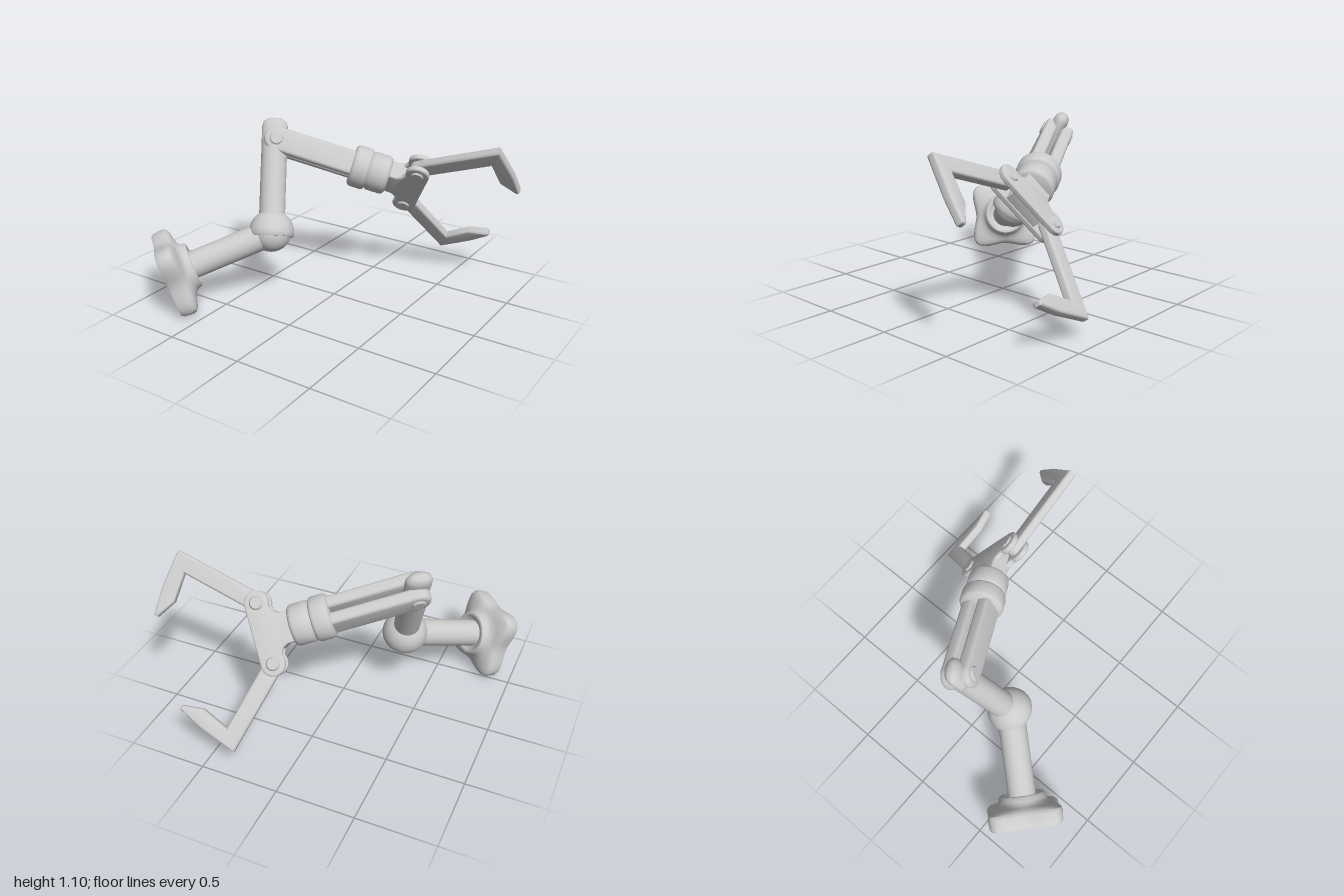
import * as THREE from 'three';
import { mergeVertices, toCreasedNormals } from 'three/addons/utils/BufferGeometryUtils.js';

const material = new THREE.MeshStandardMaterial({ color: 0xcccccc });
const vec = (a) => new THREE.Vector3(...a).normalize();

// Main directions of the pose
const lowerDir = [0.647, 0.32, -0.715];
const upperDir = [-0.232, 0.886, -0.40];
const foreDir = [0.848, -0.288, -0.444];
const jawDir = [0.489, 0.75, 0.448];
const ball = [-0.34, 0.448, 0.212];
const elbow = [-0.475, 0.972, -0.045];
const gripOrigin = [-0.483, 0.975, -0.043];

// Group whose local x is exactly xAxis and whose local y is close to yAxis
function frame(name, origin, xAxis, yAxis) {
  const x = vec(xAxis);
  const z = x.clone().cross(vec(yAxis)).normalize();
  const y = z.clone().cross(x);
  const g = new THREE.Group();
  g.name = name;
  g.quaternion.setFromRotationMatrix(new THREE.Matrix4().makeBasis(x, y, z));
  g.position.set(...origin);
  return g;
}

function add(parent, name, geometry, x = 0, y = 0, z = 0) {
  const mesh = new THREE.Mesh(geometry, material);
  mesh.name = name;
  mesh.position.set(x, y, z);
  parent.add(mesh);
  return mesh;
}

// Square outline with slightly hollow sides and round corners, as a radius factor
function squareFactor(a) {
  const c = Math.abs(Math.cos(a)), s = Math.abs(Math.sin(a));
  return (1 - 0.07 * Math.cos(4 * a)) / Math.pow(c ** 5 + s ** 5, 0.2);
}

// Turned part along local x; profile entries are [x, radius, squareness]
function turned(profile, segments = 40) {
  const geo = new THREE.LatheGeometry(profile.map(([h, r]) => new THREE.Vector2(r, h)), segments);
  const p = geo.attributes.position;
  for (let i = 0; i < p.count; i++) {
    const k = profile[i % profile.length][2] || 0;
    const s = 1 + k * (squareFactor(Math.atan2(p.getZ(i), p.getX(i))) - 1);
    p.setX(i, p.getX(i) * s);
    p.setZ(i, p.getZ(i) * s);
  }
  geo.deleteAttribute('normal');
  geo.deleteAttribute('uv');
  geo.rotateZ(-Math.PI / 2);
  return toCreasedNormals(mergeVertices(geo, 1e-5), 0.7);
}

// Plate with softened edges, centred on local z = 0
function plate(shape, thickness, bevel) {
  const geo = new THREE.ExtrudeGeometry(shape, {
    depth: thickness - 2 * bevel, bevelEnabled: true, bevelThickness: bevel,
    bevelSize: bevel, bevelOffset: -bevel, bevelSegments: 3, curveSegments: 14,
  });
  geo.translate(0, 0, bevel - thickness / 2);
  geo.deleteAttribute('uv');
  return toCreasedNormals(geo, 0.6);
}

// Pin across a joint, along local z
function pin(parent, name, x, y, radius, length) {
  const geo = turned([
    [-length / 2, 0], [-length / 2, radius * 0.8], [-length / 2 + 0.01, radius],
    [length / 2 - 0.01, radius], [length / 2, radius * 0.8], [length / 2, 0],
  ], 24);
  geo.rotateY(-Math.PI / 2);
  add(parent, name, geo, x, y, 0);
}

// Bent finger: round hinge end, straight link, tapering tip
function fingerShape(side) {
  const pts = [];
  for (let i = 0; i <= 10; i++) {
    const a = (-0.26 - i * 0.1) * Math.PI;
    pts.push([0.93 + 0.055 * Math.cos(a), 0.187 + 0.055 * Math.sin(a)]);
  }
  pts.push([1.313, 0.632], [1.478, 0.432], [1.562, 0.3], [1.547, 0.278], [1.42, 0.335], [1.314, 0.484]);
  return new THREE.Shape(pts.map(([x, y]) => new THREE.Vector2(x, y * side)));
}

export function createModel() {
  const model = new THREE.Group();
  model.name = 'roboticArm';

  // Square four-cornered foot with a collar, and the lower arm
  const lower = frame('lowerArm', ball, lowerDir, [-0.2, 0.954, 0.223]);
  add(lower, 'foot', turned([
    [-0.715, 0], [-0.715, 0.215, 1], [-0.70, 0.222, 1], [-0.64, 0.227, 1],
    [-0.618, 0.222, 1], [-0.602, 0.205, 0.95], [-0.592, 0.185, 0.6], [-0.58, 0.165, 0.2],
    [-0.56, 0.152], [-0.54, 0.147], [-0.53, 0.137], [-0.53, 0.122],
    [-0.545, 0.105], [-0.55, 0.08], [-0.55, 0],
  ], 64));
  add(lower, 'lowerArmTube', turned([[-0.6, 0], [-0.6, 0.088], [-0.04, 0.088], [-0.04, 0]]));
  add(lower, 'jointBall', new THREE.SphereGeometry(0.125, 40, 24));
  model.add(lower);

  // Upper arm with a half-shell over the ball and a flat tongue at the elbow
  const upper = frame('upperArm', ball, upperDir, foreDir);
  const shell = [[0, 0.115], [-0.028, 0.122], [-0.028, 0.138], [-0.02, 0.143], [0, 0.145]];
  for (let i = 1; i <= 14; i++) {
    const a = (i / 14) * Math.PI / 2;
    shell.push([0.145 * Math.sin(a), i === 14 ? 0 : 0.145 * Math.cos(a)]);
  }
  add(upper, 'ballShell', turned(shell));
  add(upper, 'upperArmTube', turned([[0.08, 0], [0.08, 0.083], [0.6, 0.083], [0.6, 0]]));
  add(upper, 'elbowTongue', turned([
    [0.55, 0], [0.55, 0.083], [0.69, 0.083], [0.72, 0.074], [0.74, 0.045], [0.744, 0],
  ])).scale.z = 0.6;
  model.add(upper);

  // Forearm: two parallel bars, elbow pin and the wrist sleeves
  const fore = frame('forearm', elbow, foreDir, upperDir);
  const bar = new THREE.Shape();
  bar.moveTo(0.6, -0.08);
  bar.lineTo(0.6, 0.08);
  bar.lineTo(0, 0.08);
  bar.absarc(0, 0, 0.08, Math.PI / 2, Math.PI * 1.5, false);
  for (const side of [1, -1]) {
    add(fore, side > 0 ? 'frontBar' : 'rearBar', plate(bar, 0.08, 0.022), 0, 0, side * 0.055);
  }
  pin(fore, 'elbowPin', 0, 0, 0.045, 0.212);
  add(fore, 'wristSleeve', turned([
    [0.512, 0], [0.512, 0.12], [0.522, 0.132], [0.537, 0.138], [0.605, 0.138],
    [0.62, 0.133], [0.628, 0.12], [0.64, 0.12], [0.64, 0],
  ]));
  add(fore, 'wristCollar', turned([
    [0.632, 0], [0.632, 0.12], [0.642, 0.128], [0.735, 0.128], [0.75, 0.123], [0.76, 0.11], [0.76, 0],
  ]));
  model.add(fore);

  // Gripper: solid palm with forked hinges, pins and mirrored fingers
  const grip = frame('gripper', gripOrigin, foreDir, jawDir);
  const palm = new THREE.Shape();
  palm.moveTo(0.74, -0.095);
  palm.lineTo(0.74, 0.095);
  palm.lineTo(0.81, 0.095);
  palm.quadraticCurveTo(0.852, 0.105, 0.863, 0.153);
  palm.absarc(0.93, 0.187, 0.075, Math.PI * 1.15, 0, true);
  palm.absarc(0.93, -0.187, 0.075, 0, -Math.PI * 1.15, true);
  palm.quadraticCurveTo(0.852, -0.105, 0.81, -0.095);
  for (const side of [1, -1]) {
    add(grip, side > 0 ? 'frontPalmPlate' : 'rearPalmPlate', plate(palm, 0.036, 0.01), 0, 0, side * 0.045);
  }
  const core = new THREE.Shape([
    [0.74, -0.095], [0.81, -0.095], [0.85, -0.115], [1, -0.115],
    [1, 0.115], [0.85, 0.115], [0.81, 0.095], [0.74, 0.095],
  ].map(([x, y]) => new THREE.Vector2(x, y)));
  add(grip, 'palmCore', plate(core, 0.118, 0.008));
  for (const side of [1, -1]) {
    const label = side > 0 ? 'upper' : 'lower';
    add(grip, label + 'Finger', plate(fingerShape(side), 0.057, 0.014));
    pin(grip, label + 'FingerPin', 0.93, side * 0.187, 0.042, 0.146);
  }
  model.add(grip);

  return model;
}
